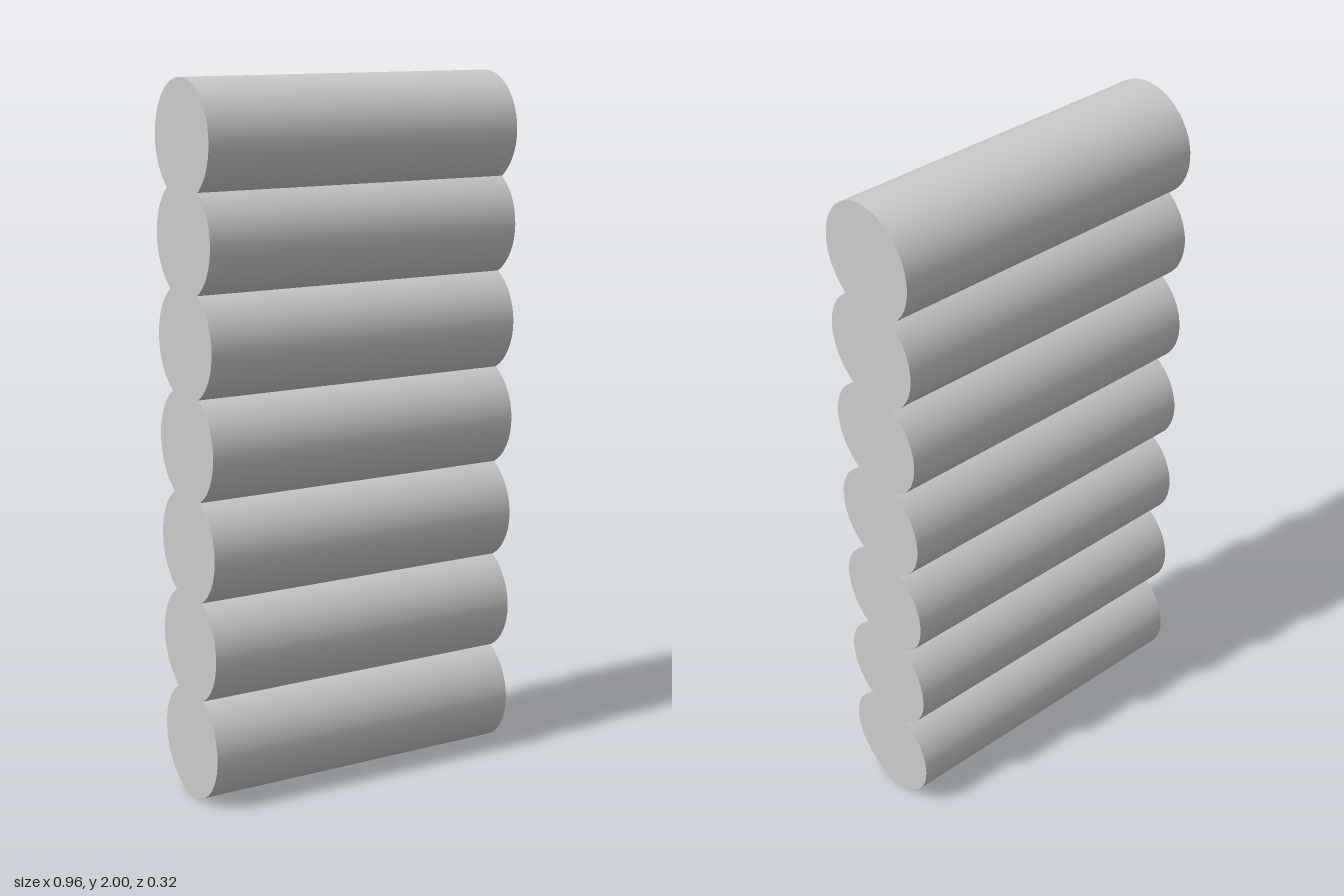
import * as THREE from 'three';

const RADIUS = 0.161;
const LENGTH = 0.962;
// heights of the log axes, the top log sits slightly closer
const HEIGHTS = [0.161, 0.446, 0.729, 1.012, 1.295, 1.574, 1.839];

export function createModel() {
  const model = new THREE.Group();
  model.name = 'logWall';
  const material = new THREE.MeshStandardMaterial({ color: 0xcccccc });

  // One round log lying along x
  const logGeometry = new THREE.CylinderGeometry(RADIUS, RADIUS, LENGTH, 48);
  logGeometry.rotateZ(Math.PI / 2);

  // Stack of overlapping logs
  HEIGHTS.forEach((y, i) => {
    const log = new THREE.Mesh(logGeometry, material);
    log.name = `log${i + 1}`;
    log.position.y = y;
    model.add(log);
  });

  return model;
}
